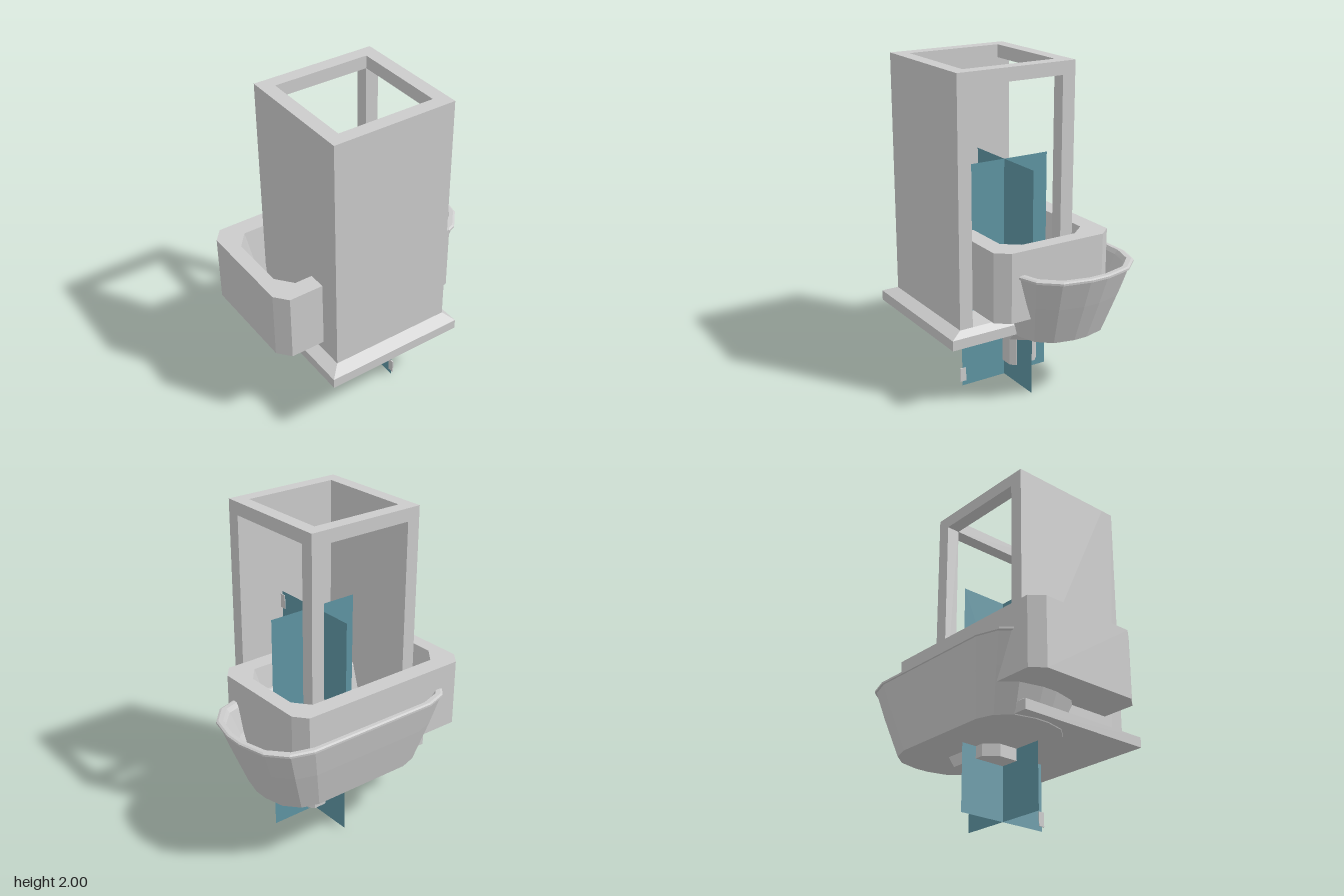
import * as THREE from 'three';

const grey = new THREE.MeshStandardMaterial({ color: 0xcccccc, flatShading: true });
const blue = new THREE.MeshStandardMaterial({ color: 0x5f95a3, side: THREE.DoubleSide });

// Solid skinned over horizontal rings: each is { y, pts: [[x, z], ...] }, with both ends capped
function loft(rings) {
  const n = rings[0].pts.length;
  const position = rings.flatMap(({ y, pts }) => pts.flatMap(([x, z]) => [x, y, z]));
  const index = [];
  for (let r = 0; r < rings.length - 1; r++) {
    for (let i = 0; i < n; i++) {
      const a = r * n + i, b = r * n + (i + 1) % n;
      index.push(a, b, b + n, a, b + n, a + n);
    }
  }
  const top = (rings.length - 1) * n;
  for (let i = 1; i < n - 1; i++) index.push(0, i + 1, i, top, top + i, top + i + 1);
  const g = new THREE.BufferGeometry();
  g.setAttribute('position', new THREE.Float32BufferAttribute(position, 3));
  g.setIndex(index);
  const flat = g.toNonIndexed();
  flat.computeVertexNormals();
  return flat;
}

// Rectangle outline, and rectangle outline with cut corners
const rect = (y, x0, x1, z0, z1) => ({ y, pts: [[x1, z1], [x1, z0], [x0, z0], [x0, z1]] });
const oct = (y, x0, x1, z0, z1, c, d = c) => ({
  y,
  pts: [[x1, z1 - d], [x1, z0 + d], [x1 - c, z0], [x0 + c, z0],
    [x0, z0 + d], [x0, z1 - d], [x0 + c, z1], [x1 - c, z1]],
});

// Long rounded basin outline, mirrored from one quarter and scaled
function basinRing(y, sx, sz = sx) {
  const q = [[0.72, 0.06], [0.68, 0.23], [0.58, 0.345], [0.44, 0.39]];
  const r = [...q].reverse();
  const all = [
    ...q.map(([x, z]) => [x, -z]), ...r.map(([x, z]) => [-x, -z]),
    ...q.map(([x, z]) => [-x, z]), ...r,
  ];
  return { y, pts: all.map(([x, z]) => [0.04 + x * sx, -0.17 + z * sz]) };
}

export function createModel() {
  const model = new THREE.Group();
  const add = (name, geometry, material = grey, parent = model) => {
    const m = new THREE.Mesh(geometry, material);
    m.name = name;
    parent.add(m);
    return m;
  };
  const box = (name, x0, x1, y0, y1, z0, z1, parent) =>
    add(name, new THREE.BoxGeometry(x1 - x0, y1 - y0, z1 - z0), grey, parent)
      .position.set((x0 + x1) / 2, (y0 + y1) / 2, (z0 + z1) / 2);

  // Tall cubicle: solid front and one side, open frames on the other two
  const cubicle = new THREE.Group();
  cubicle.name = 'cubicle';
  model.add(cubicle);
  box('frontWall', -0.485, 0.295, 0.5, 2, 0.395, 0.48, cubicle);
  box('sideWall', -0.485, -0.4, 0.5, 2, -0.3, 0.395, cubicle);
  box('cornerPost', 0.21, 0.295, 0.5, 2, -0.3, -0.215, cubicle);
  box('backTopRail', -0.4, 0.21, 1.92, 2, -0.3, -0.215, cubicle);
  box('sideTopRail', 0.21, 0.295, 1.92, 2, -0.215, 0.395, cubicle);

  // Floor tray with sloping border and shallow recess
  add('tray', loft([
    rect(0.415, -0.56, 0.34, -0.345, 0.555),
    rect(0.478, -0.56, 0.34, -0.345, 0.555),
    rect(0.51, -0.485, 0.295, -0.3, 0.48),
    rect(0.51, -0.4, 0.21, -0.215, 0.395),
    rect(0.485, -0.385, 0.195, -0.2, 0.375),
  ]));

  // Tub with cut corners and tapering inside
  add('tub', loft([
    oct(0.575, -0.765, 0.5, -0.455, 0.34, 0.065, 0.08),
    oct(1.0, -0.765, 0.5, -0.455, 0.34, 0.065, 0.08),
    oct(1.0, -0.675, 0.405, -0.34, 0.23, 0.08, 0.1),
    oct(0.64, -0.6, 0.31, -0.285, 0.155, 0.07, 0.08),
  ]));

  // Faceted oval basin with a lip
  add('basin', loft([
    basinRing(0.41, 0.75, 0.74),
    basinRing(0.66, 0.89, 0.89),
    basinRing(0.835, 0.98),
    basinRing(0.838, 1),
    basinRing(0.85, 1),
    basinRing(0.856, 0.985, 0.97),
    basinRing(0.856, 0.95, 0.91),
    basinRing(0.83, 0.93, 0.87),
    basinRing(0.68, 0.84, 0.78),
    basinRing(0.56, 0.74, 0.66),
    basinRing(0.5, 0.6, 0.48),
  ]));

  // Pedestal: flared foot and octagonal stem below the basin
  add('pedestalBlock', loft([
    oct(0.335, -0.085, 0.3, -0.19, 0.1, 0.065, 0.08),
    oct(0.42, -0.085, 0.36, -0.19, 0.1, 0.065, 0.08),
  ]));
  add('pedestalStem', loft([
    oct(0.12, 0.045, 0.185, -0.145, 0.05, 0.03),
    oct(0.34, 0.045, 0.185, -0.145, 0.05, 0.03),
  ]));

  // Cistern with lid, button and lever inside the tub
  box('cisternBase', -0.11, 0.27, 0.6, 0.7, -0.22, 0.13);
  add('cistern', loft([
    oct(0.69, -0.075, 0.03, -0.19, 0.09, 0.02),
    oct(0.79, -0.075, 0.03, -0.19, 0.09, 0.02),
    oct(0.795, -0.085, 0.04, -0.205, 0.1, 0.025),
    oct(0.83, -0.085, 0.04, -0.205, 0.1, 0.025),
  ]));
  box('button', -0.035, -0.002, 0.825, 0.855, -0.09, -0.015);
  const knob = (name, r, h, x, y, z, sx = 1) => {
    const m = add(name, new THREE.CylinderGeometry(r, r, h, 10));
    m.position.set(x, y, z);
    m.scale.x = sx;
  };
  knob('sideKnob', 0.032, 0.08, 0.055, 0.73, -0.055);
  knob('pin', 0.015, 0.04, 0.115, 0.715, -0.055);
  knob('lever', 0.02, 0.04, 0.04, 0.75, 0.128, 2);

  // Crossed thin panels with two small hinge tabs
  add('panelAcross', new THREE.PlaneGeometry(0.61, 1.405), blue).position.set(0.04, 0.7025, 0.015);
  const lengthwise = add('panelLengthwise', new THREE.PlaneGeometry(0.61, 1.405), blue);
  lengthwise.position.set(0.037, 0.7025, 0.015);
  lengthwise.rotation.y = Math.PI / 2;
  for (const y of [0.03, 1.297]) box('hingeTab', 0.033, 0.041, y, y + 0.088, 0.295, 0.335);

  return model;
}
